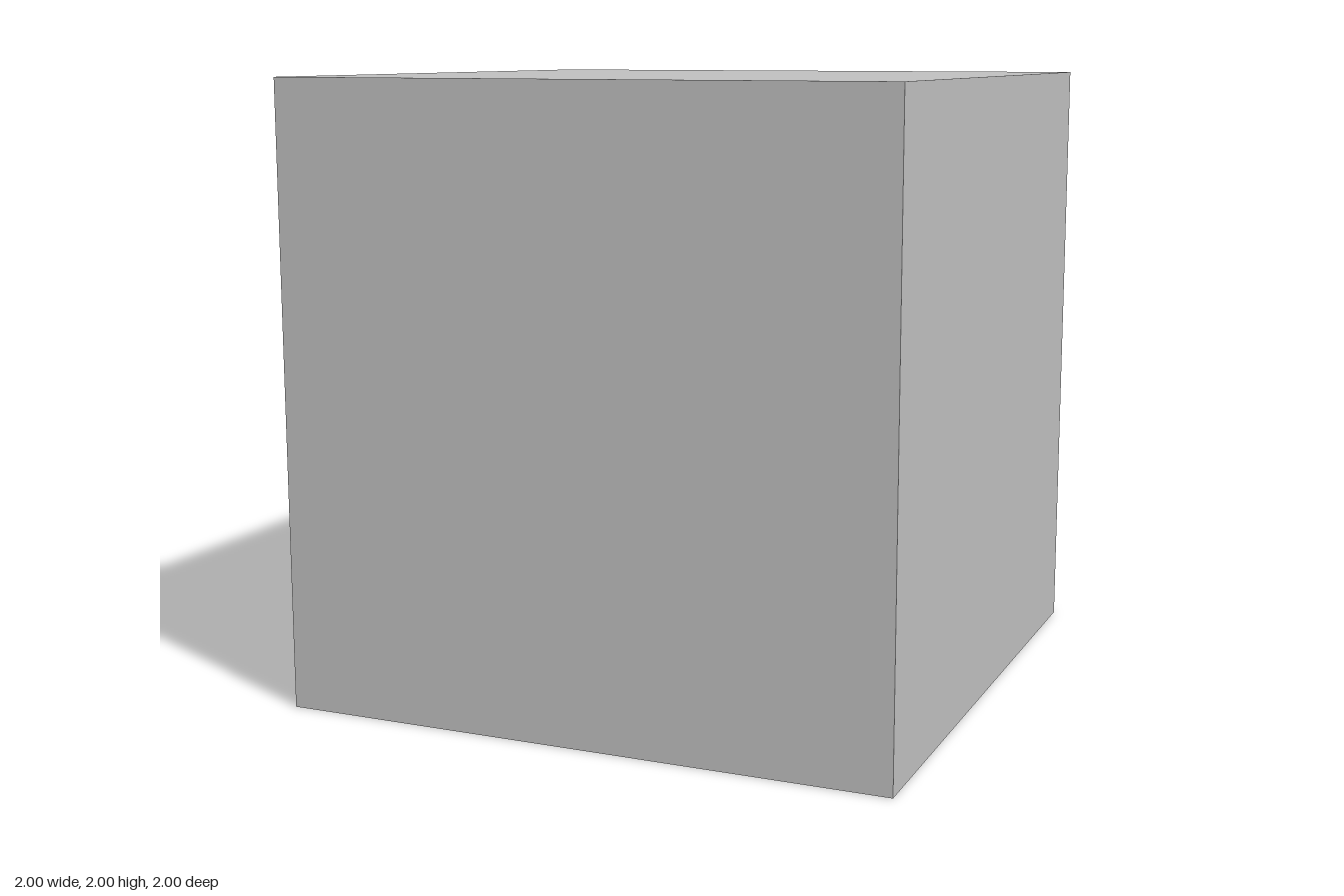
import * as THREE from 'three';

const SIZE = 2, DEPTH = 0.25;
const POCKET_W = 0.75, POCKET_H = 0.375;

// Box with one of its six sides (order +x -x +y -y +z -z) left out.
function openBox(w, h, d, side) {
  const geometry = new THREE.BoxGeometry(w, h, d);
  const index = Array.from(geometry.index.array);
  index.splice(side * 6, 6);
  geometry.clearGroups();
  geometry.setIndex(index);
  return geometry;
}

export function createModel() {
  const model = new THREE.Group();
  model.name = 'pocketedBlock';
  const grey = new THREE.MeshStandardMaterial({ name: 'lightGrey', color: 0xc0c0c0 });

  const add = (name, geometry, x, y, z) => {
    const mesh = new THREE.Mesh(geometry, grey);
    mesh.name = name;
    mesh.position.set(x, y, z);
    model.add(mesh);
  };

  // Outer block, open at the back
  add('blockShell', openBox(SIZE, SIZE, SIZE, 5), 0, 1, 0);

  // Pocket centres: two columns of four rows
  const centres = [];
  for (const x of [-0.5, 0.5])
    for (let row = 0; row < 4; row++) centres.push([x, 0.25 + row * 0.5]);

  // Back wall, pierced by the pocket openings
  const wall = new THREE.Shape();
  wall.moveTo(-1, -1).lineTo(1, -1).lineTo(1, 1).lineTo(-1, 1).closePath();
  for (const [x, y] of centres) {
    const l = x - POCKET_W / 2, r = x + POCKET_W / 2;
    const b = y - 1 - POCKET_H / 2, t = y - 1 + POCKET_H / 2;
    const hole = new THREE.Path();
    hole.moveTo(l, b).lineTo(l, t).lineTo(r, t).lineTo(r, b).closePath();
    wall.holes.push(hole);
  }
  add('backWall', new THREE.ShapeGeometry(wall).rotateY(Math.PI), 0, 1, -1);

  // Pocket linings: mirrored boxes, so their faces look inward
  const lining = openBox(POCKET_W, POCKET_H, DEPTH, 4).scale(1, 1, -1);
  lining.computeVertexNormals();
  centres.forEach(([x, y], i) => add(`pocket${i + 1}`, lining, x, y, -1 + DEPTH / 2));

  return model;
}
